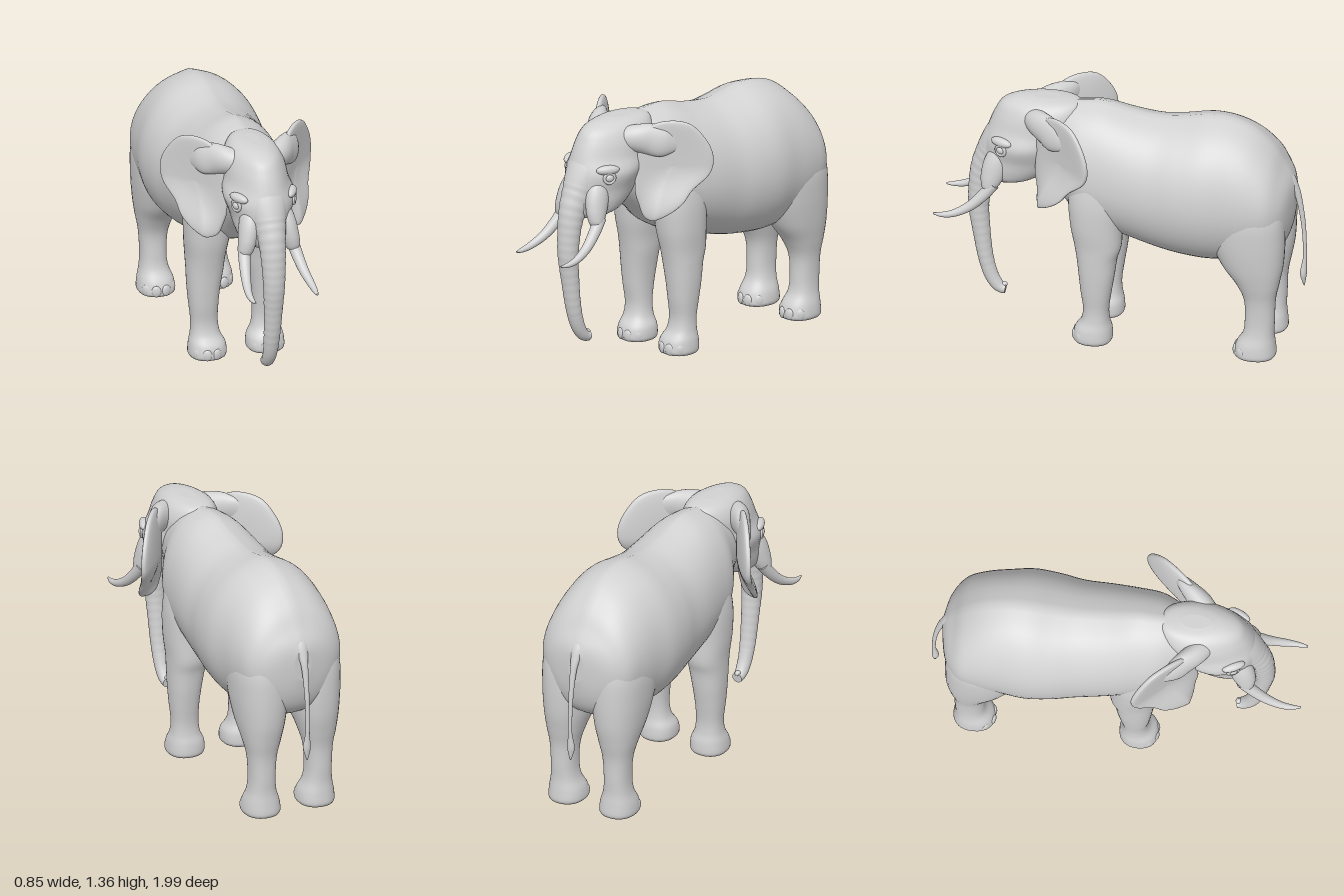
import * as THREE from 'three';

const grey = new THREE.MeshStandardMaterial({ color: 0xd2d2d2 });
grey.name = 'elephantGrey';

// Smooth interpolation through rows of numbers, n steps per interval
function spline(rows, n) {
  const out = [];
  const at = (i) => rows[Math.min(rows.length - 1, Math.max(0, i))];
  for (let i = 0; i < rows.length - 1; i++) {
    for (let k = 0; k < n; k++) {
      const t = k / n;
      out.push(rows[i].map((b, j) => {
        const a = at(i - 1)[j], c = at(i + 1)[j], d = at(i + 2)[j];
        return b + 0.5 * t * (c - a + t * (2 * a - 5 * b + 4 * c - d + t * (3 * (b - c) + d - a)));
      }));
    }
  }
  out.push(rows[rows.length - 1]);
  return out;
}

const loop = (n, f) => Array.from({ length: n }, (_, i) => f((i / n) * Math.PI * 2));

// Closed skin over a list of rings, with flat end caps, always facing outward
function skin(name, rings) {
  const m = rings[0].length, pos = rings.flat(2), idx = [];
  for (let i = 0; i < rings.length - 1; i++) {
    for (let j = 0; j < m; j++) {
      const a = i * m + j, b = i * m + (j + 1) % m;
      idx.push(a, b, a + m, b, b + m, a + m);
    }
  }
  [rings[0], rings[rings.length - 1]].forEach((ring, end) => {
    const base = pos.length / 3;
    pos.push(...ring.flat());
    for (let k = 0; k < 3; k++) pos.push(ring.reduce((sum, p) => sum + p[k], 0) / m);
    for (let j = 0; j < m; j++) {
      const a = base + j, b = base + (j + 1) % m;
      if (end) idx.push(a, b, base + m); else idx.push(b, a, base + m);
    }
  });
  let volume = 0;
  const v = (i) => new THREE.Vector3().fromArray(pos, i * 3);
  for (let i = 0; i < idx.length; i += 3) volume += v(idx[i]).dot(v(idx[i + 1]).cross(v(idx[i + 2])));
  if (volume < 0) idx.reverse();
  const g = new THREE.BufferGeometry();
  g.setAttribute('position', new THREE.Float32BufferAttribute(pos, 3));
  g.setIndex(idx);
  g.computeVertexNormals();
  const mesh = new THREE.Mesh(g, grey);
  mesh.name = name;
  return mesh;
}

// Tube through rows of x, y, z, sideways radius, other radius
function limb(name, rows, n = 8, ripple = () => 1) {
  const pts = spline(rows, n);
  return skin(name, pts.map((p, i) => {
    const a = pts[Math.max(0, i - 1)], b = pts[Math.min(pts.length - 1, i + 1)];
    const t = new THREE.Vector3(b[0] - a[0], b[1] - a[1], b[2] - a[2]).normalize();
    const side = new THREE.Vector3(1, 0, 0).addScaledVector(t, -t.x).normalize();
    const up = t.clone().cross(side), k = ripple(p[1]);
    return loop(28, (q) => new THREE.Vector3(p[0], p[1], p[2])
      .addScaledVector(side, Math.cos(q) * p[3] * k)
      .addScaledVector(up, Math.sin(q) * p[4] * k).toArray());
  }));
}

// Upright form through rows of y, xMin, xMax, zMin, zMax
function column(name, rows, s, taper = 0) {
  return skin(name, spline(rows, 6).map(([y, x0, x1, z0, z1]) => loop(36, (q) => {
    const c = Math.cos(q), w = Math.sin(q), pw = (u) => Math.sign(u) * Math.abs(u) ** 0.88;
    return [s * ((x0 + x1) / 2 + (x1 - x0) / 2 * pw(c) * (1 - taper * Math.max(0, w))), y,
      (z0 + z1) / 2 + (z1 - z0) / 2 * pw(w)];
  })));
}

function lump(name, p, scale, rotY = 0) {
  const mesh = new THREE.Mesh(new THREE.SphereGeometry(1, 20, 14), grey);
  mesh.position.set(...p);
  mesh.scale.set(...scale);
  mesh.rotation.y = rotY;
  mesh.name = name;
  return mesh;
}

// Ear: a thick-rimmed cupped lens inside a closed outline, swept backwards
function ear(s) {
  const outline = new THREE.CatmullRomCurve3([
    [0.15, 0.95], [0.155, 1.1], [0.165, 1.25], [0.205, 1.33], [0.265, 1.352], [0.33, 1.335], [0.385, 1.25],
    [0.412, 1.15], [0.402, 1.05], [0.362, 0.97], [0.345, 0.9], [0.305, 0.845], [0.25, 0.812], [0.195, 0.825],
    [0.17, 0.87],
  ].map(([x, y]) => new THREE.Vector3(x, y, 0)), true).getSpacedPoints(72).slice(0, 72);
  const rings = [];
  for (let i = 0; i <= 28; i++) {
    const a = 0.001 + (i / 28) * (Math.PI - 0.002), c = Math.cos(a);
    const r = Math.sin(a) ** 0.75, h = 0.026 * Math.sign(c) * Math.abs(c) ** 0.6;
    rings.push(outline.map((p) => {
      const x = 0.275 + (p.x - 0.275) * r, y = 1.1 + (p.y - 1.1) * r;
      const low = THREE.MathUtils.smoothstep(1.1 - y, 0, 0.28);
      const cup = 0.016 * r * r - 0.01;
      const z = 0.42 - (x - 0.165) * 1.24 + 0.1 * low * THREE.MathUtils.clamp((x - 0.16) / 0.1, 0, 1);
      return [s * (x + 0.78 * (h + cup)), y, z + 0.62 * (h + cup)];
    }));
  }
  return skin('ear', rings);
}

export function createModel() {
  const model = new THREE.Group();
  model.name = 'elephant';

  // Body and neck: z, top, bottom, half width, height of widest point
  const body = spline([
    [-0.935, 0.98, 0.8, 0.05, 0.9], [-0.915, 1.03, 0.7, 0.15, 0.88], [-0.88, 1.09, 0.62, 0.225, 0.87],
    [-0.82, 1.185, 0.57, 0.28, 0.88], [-0.72, 1.275, 0.53, 0.305, 0.89], [-0.6, 1.325, 0.515, 0.32, 0.9],
    [-0.47, 1.335, 0.512, 0.338, 0.9], [-0.33, 1.31, 0.525, 0.328, 0.9], [-0.2, 1.3, 0.55, 0.305, 0.9],
    [-0.05, 1.32, 0.595, 0.292, 0.92], [0.1, 1.355, 0.64, 0.272, 0.94], [0.22, 1.35, 0.7, 0.25, 0.97],
    [0.32, 1.335, 0.79, 0.19, 1.03], [0.42, 1.325, 0.86, 0.15, 1.08], [0.52, 1.3, 0.9, 0.13, 1.1],
  ], 5);
  model.add(skin('body', body.map(([z, top, bottom, w, mid]) => loop(56, (q) => {
    const c = Math.cos(q), u = Math.sin(q);
    const ridge = u > 0 ? 0.97 + 0.03 * Math.exp(-((c / 0.12) ** 2)) : 1;
    const x = w * Math.sign(c) * Math.abs(c) ** (u > 0 ? 1 : 0.9);
    return [x, mid + (u > 0 ? top - mid : mid - bottom) * u * ridge, z];
  }))));

  // Head
  model.add(column('head', [
    [1.355, -0.04, 0.04, 0.34, 0.5], [1.343, -0.09, 0.09, 0.25, 0.58], [1.31, -0.13, 0.13, 0.22, 0.655],
    [1.25, -0.157, 0.157, 0.22, 0.695], [1.17, -0.17, 0.17, 0.26, 0.728], [1.09, -0.192, 0.192, 0.32, 0.75],
    [1, -0.165, 0.165, 0.35, 0.765], [0.93, -0.15, 0.15, 0.4, 0.775], [0.88, -0.13, 0.13, 0.46, 0.765],
    [0.85, -0.09, 0.09, 0.53, 0.74],
  ], 1, 0.22));
  model.add(limb('lowerJaw', [
    [0, 0.97, 0.44, 0.12, 0.09], [0, 0.92, 0.53, 0.1, 0.07], [0, 0.87, 0.6, 0.065, 0.045],
    [0, 0.83, 0.645, 0.02, 0.015],
  ]));

  // Trunk with wrinkle rings and a curled tip
  model.add(limb('trunk', [
    [0, 1.2, 0.6, 0.12, 0.09], [0, 1.08, 0.66, 0.11, 0.1], [0, 0.98, 0.71, 0.088, 0.092],
    [0, 0.9, 0.75, 0.074, 0.077], [0, 0.8, 0.776, 0.066, 0.063], [0, 0.65, 0.786, 0.058, 0.055],
    [0, 0.5, 0.771, 0.05, 0.047], [0, 0.35, 0.749, 0.044, 0.041], [0, 0.25, 0.722, 0.039, 0.038],
    [0, 0.19, 0.69, 0.035, 0.034], [0, 0.167, 0.662, 0.031, 0.03], [0, 0.163, 0.64, 0.029, 0.028],
  ], 14, (y) => (y > 0.3 && y < 1 ? 1 + 0.011 * Math.sin((y * Math.PI * 2) / 0.045) : 1)));
  model.add(lump('trunkFinger', [0, 0.188, 0.648], [0.016, 0.014, 0.018]));

  // Tail with a tuft
  model.add(limb('tail', [
    [0, 1.06, -0.82, 0.06, 0.04], [0, 1.0, -0.895, 0.042, 0.032], [0, 0.94, -0.932, 0.027, 0.022],
    [0, 0.87, -0.955, 0.018, 0.016], [0, 0.72, -0.978, 0.013, 0.012], [0, 0.55, -0.986, 0.011, 0.01],
    [0, 0.49, -0.982, 0.014, 0.013], [0, 0.43, -0.977, 0.021, 0.018], [0, 0.385, -0.979, 0.012, 0.01],
    [0, 0.355, -0.981, 0.002, 0.002],
  ]));

  for (const s of [1, -1]) {
    model.add(ear(s));
    model.add(limb('earRoot', [
      [s * 0.08, 1.25, 0.48, 0.06, 0.06], [s * 0.145, 1.255, 0.43, 0.06, 0.075],
      [s * 0.2, 1.25, 0.375, 0.05, 0.085], [s * 0.255, 1.235, 0.32, 0.035, 0.08], [s * 0.3, 1.22, 0.26, 0.008, 0.03],
    ]));

    // Eye with lids and brow
    model.add(lump('eye', [s * 0.163, 1.08, 0.635], [0.014, 0.02, 0.024], -s * 0.4));
    const lid = new THREE.Mesh(new THREE.TorusGeometry(0.028, 0.009, 10, 28), grey);
    lid.name = 'eyelid';
    lid.position.set(s * 0.162, 1.08, 0.635);
    lid.rotation.y = s * 1.12;
    model.add(lid);
    model.add(lump('brow', [s * 0.148, 1.122, 0.635], [0.026, 0.026, 0.065], -s * 0.45));

    // Tusk and its socket
    model.add(limb('tuskSocket', [
      [s * 0.07, 1.08, 0.62, 0.05, 0.05], [s * 0.098, 0.98, 0.665, 0.056, 0.068],
      [s * 0.118, 0.9, 0.69, 0.05, 0.062], [s * 0.132, 0.845, 0.705, 0.04, 0.044],
      [s * 0.137, 0.825, 0.712, 0.03, 0.032],
    ]));
    model.add(limb('tusk', [
      [s * 0.135, 0.86, 0.68, 0.034, 0.034], [s * 0.148, 0.79, 0.735, 0.031, 0.031],
      [s * 0.163, 0.725, 0.805, 0.026, 0.026], [s * 0.176, 0.683, 0.885, 0.02, 0.02],
      [s * 0.178, 0.668, 0.95, 0.014, 0.014], [s * 0.173, 0.668, 0.998, 0.005, 0.005],
    ]));

    // Legs
    model.add(column('frontLeg', [
      [0, 0.072, 0.253, 0.037, 0.224], [0.02, 0.06, 0.264, 0.027, 0.238], [0.075, 0.064, 0.26, 0.03, 0.228],
      [0.13, 0.09, 0.248, 0.042, 0.193], [0.2, 0.1, 0.245, 0.044, 0.182], [0.3, 0.097, 0.255, 0.03, 0.195],
      [0.4, 0.086, 0.263, 0.014, 0.206], [0.5, 0.07, 0.267, 0, 0.218], [0.58, 0.06, 0.27, -0.022, 0.232],
      [0.7, 0.04, 0.279, -0.025, 0.255], [0.85, 0.03, 0.277, -0.03, 0.265], [1, 0.03, 0.25, 0, 0.24],
      [1.12, 0.05, 0.2, 0.05, 0.19],
    ], s));
    model.add(column('hindLeg', [
      [0, 0.072, 0.253, -0.852, -0.648], [0.02, 0.06, 0.263, -0.862, -0.635], [0.075, 0.067, 0.258, -0.858, -0.648],
      [0.14, 0.09, 0.243, -0.852, -0.685], [0.22, 0.098, 0.238, -0.855, -0.695], [0.34, 0.09, 0.245, -0.86, -0.69],
      [0.44, 0.065, 0.265, -0.88, -0.645], [0.55, 0.035, 0.285, -0.9, -0.565], [0.7, 0.012, 0.3, -0.908, -0.5],
      [0.85, 0.01, 0.298, -0.9, -0.48], [1, 0.02, 0.25, -0.86, -0.53], [1.12, 0.05, 0.17, -0.8, -0.6],
    ], s));

    // Toenails
    for (const [name, z, r] of [['frontToenail', 0.132, 0.1], ['hindToenail', -0.748, 0.108]]) {
      for (const a of [-0.9, -0.3, 0.3, 0.9]) {
        model.add(lump(name, [s * 0.162 + Math.sin(a) * 0.094, 0.034, z + Math.cos(a) * r], [0.026, 0.032, 0.013], a));
      }
    }
  }
  return model;
}
